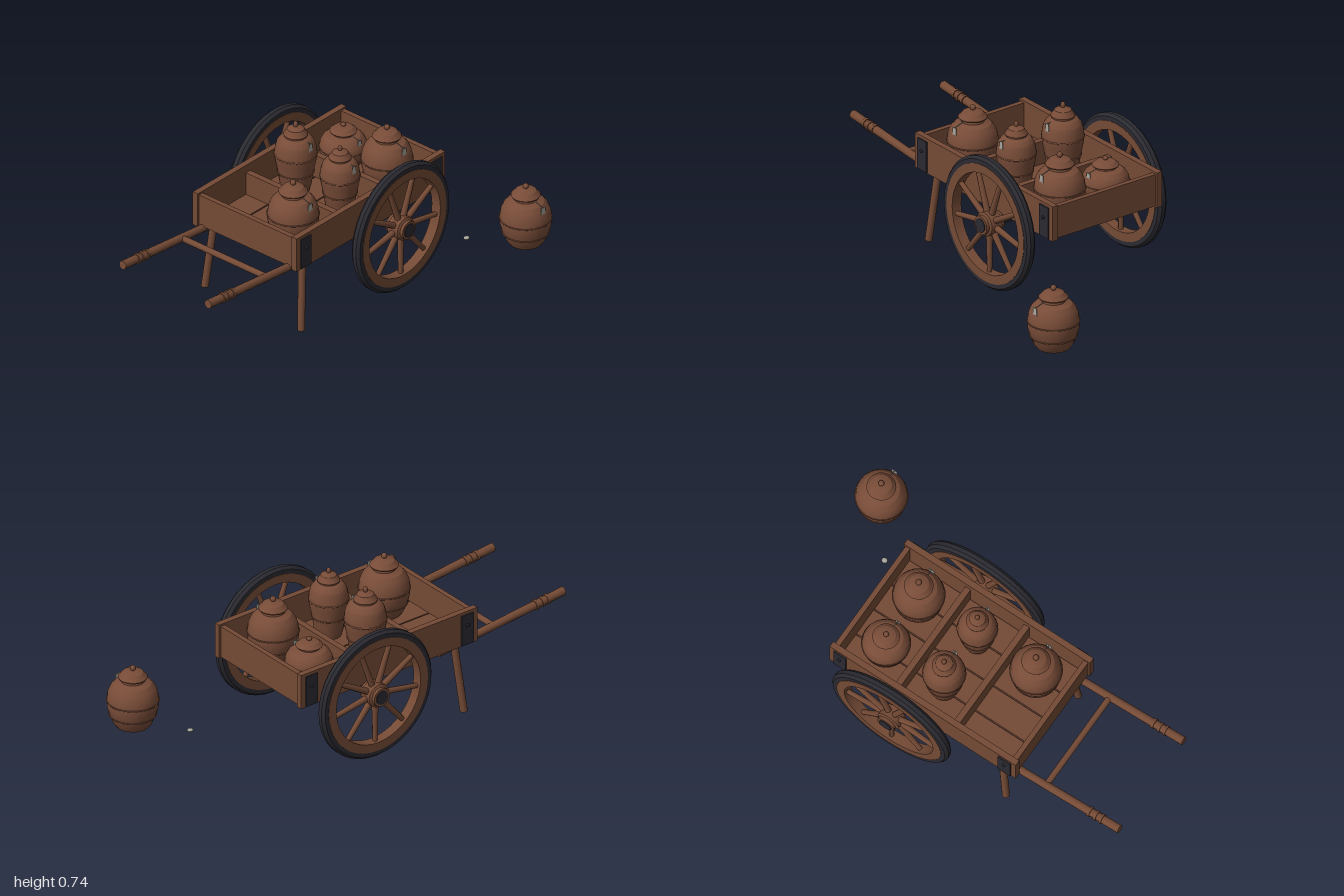
import * as THREE from 'three';
import { toCreasedNormals } from 'three/addons/utils/BufferGeometryUtils.js';

const paint = (name, color) => Object.assign(new THREE.MeshStandardMaterial({ color }), { name });
const WOOD = paint('wood', 0x744a35);
const CLAY = paint('clay', 0x784c38);
const IRON = paint('iron', 0x2a2a31);
const STONE = paint('paleGrey', 0xa8a69c);

function add(parent, name, geometry, material, x = 0, y = 0, z = 0) {
  const mesh = new THREE.Mesh(geometry, material);
  mesh.name = name;
  mesh.position.set(x, y, z);
  parent.add(mesh);
  return mesh;
}

function box(parent, name, material, x0, x1, y0, y1, z0, z1) {
  const g = new THREE.BoxGeometry(x1 - x0, y1 - y0, z1 - z0);
  return add(parent, name, g, material, (x0 + x1) / 2, (y0 + y1) / 2, (z0 + z1) / 2);
}

// Round bar between two points
function rod(parent, name, material, a, b, r0, r1 = r0, sides = 12) {
  const p = new THREE.Vector3(...a), q = new THREE.Vector3(...b);
  const dir = q.clone().sub(p);
  const mesh = add(parent, name, new THREE.CylinderGeometry(r1, r0, dir.length(), sides), material);
  mesh.position.copy(p).add(q).multiplyScalar(0.5);
  mesh.quaternion.setFromUnitVectors(new THREE.Vector3(0, 1, 0), dir.normalize());
  return mesh;
}

// Lathe with crisp edges at the profile corners
function turned(points, sides) {
  const g = new THREE.LatheGeometry(points.map(p => new THREE.Vector2(...p)), sides);
  return toCreasedNormals(g, 0.45);
}

function makeBed() {
  const bed = new THREE.Group();
  bed.name = 'bed';
  // floor planks with narrow gaps
  for (let i = 0; i < 4; i++) {
    const z = -0.412 + i * 0.1455;
    box(bed, 'floorPlank', WOOD, -0.435, 0.555, 0.355, 0.375, z, z + 0.139);
  }
  // side boards, end boards, dividers
  for (const z of [-0.435, 0.168]) box(bed, 'sideBoard', WOOD, -0.455, 0.575, 0.355, 0.53, z, z + 0.03);
  for (const x of [-0.445, 0.54]) box(bed, 'endBoard', WOOD, x, x + 0.025, 0.36, 0.52, -0.405, 0.168);
  for (const x of [-0.12, 0.205]) box(bed, 'divider', WOOD, x, x + 0.03, 0.375, 0.49, -0.405, 0.168);
  // iron plates with bolts at each corner
  for (const s of [-1, 1]) {
    const z = -0.1185 + s * 0.3195;
    for (const x of [-0.395, 0.515]) {
      box(bed, 'cornerPlate', IRON, x - 0.034, x + 0.034, 0.36, 0.515, z - 0.004, z + 0.004);
      rod(bed, 'bolt', IRON, [x, 0.46, z], [x, 0.46, z + s * 0.011], 0.011, 0.007, 8);
    }
  }
  return bed;
}

function makeWheel() {
  const wheel = new THREE.Group();
  wheel.name = 'wheel';
  // tyre and wooden rim
  const tyre = turned([[0.285, -0.024], [0.31, -0.024], [0.322, -0.01], [0.322, 0.01],
    [0.31, 0.024], [0.285, 0.024], [0.285, -0.024]], 40);
  const rim = turned([[0.246, -0.026], [0.289, -0.026], [0.289, 0.026], [0.246, 0.026], [0.246, -0.026]], 40);
  add(wheel, 'tyre', tyre.rotateX(Math.PI / 2), IRON);
  add(wheel, 'rim', rim.rotateX(Math.PI / 2), WOOD);
  // spokes
  for (let i = 0; i < 9; i++) {
    const a = -Math.PI / 2 + i * Math.PI * 2 / 9, c = Math.cos(a), s = Math.sin(a);
    rod(wheel, 'spoke', WOOD, [c * 0.04, s * 0.04, 0], [c * 0.255, s * 0.255, 0], 0.016, 0.012, 8);
  }
  // hub
  const hub = turned([[0, -0.052], [0.046, -0.052], [0.046, -0.036], [0.058, -0.03], [0.058, 0.03],
    [0.046, 0.036], [0.046, 0.052], [0, 0.052]], 16);
  add(wheel, 'hub', hub.rotateX(Math.PI / 2), WOOD);
  rod(wheel, 'hubCap', IRON, [0, 0, -0.056], [0, 0, 0.056], 0.034, 0.034, 16);
  return wheel;
}

function makeFrame() {
  const frame = new THREE.Group();
  frame.name = 'frame';
  const along = (x, z) => [x, 0.405 - (x + 1) * 0.099, z];
  for (const [z, s] of [[0.135, 1], [-0.385, -1]]) {
    // pulling shaft with grip rings
    rod(frame, 'shaft', WOOD, along(-0.998, z), along(-0.265, z), 0.021, 0.018);
    for (const x of [-0.9, -0.87, -0.835]) {
      rod(frame, 'gripRing', WOOD, along(x - 0.007, z), along(x + 0.007, z), 0.025);
    }
    // prop leg
    rod(frame, 'leg', WOOD, [-0.39, 0.003, z + s * 0.033], [-0.354, 0.345, z + s * 0.008], 0.018);
  }
  rod(frame, 'crossBar', WOOD, along(-0.59, -0.385), along(-0.59, 0.135), 0.015);
  rod(frame, 'axle', IRON, [0.19, 0.328, -0.46], [0.19, 0.328, 0.235], 0.023, 0.023, 16);
  return frame;
}

// Profiles for squat and tall jars: [radius, height]
const SQUAT = {
  body: [[0, 0], [0.078, 0], [0.092, 0.02], [0.108, 0.06], [0.118, 0.1], [0.12, 0.135], [0.115, 0.17],
    [0.103, 0.2], [0.085, 0.22], [0.055, 0.232], [0.052, 0.26]],
  bands: [[0.108, 0.06], [0.12, 0.133]], lid: 0.247, tag: [0.104, 0.223],
};
const TALL = {
  body: [[0, 0], [0.075, 0], [0.087, 0.03], [0.1, 0.09], [0.114, 0.14], [0.12, 0.168], [0.114, 0.2],
    [0.105, 0.222], [0.085, 0.24], [0.062, 0.247], [0.06, 0.262]],
  bands: [[0.102, 0.09], [0.119, 0.168]], lid: 0.25, tag: [0.108, 0.238],
};

function makeJar(type, x, y, z, radius, height) {
  const jar = new THREE.Group();
  jar.name = 'jar';
  add(jar, 'jarBody', turned(type.body, 24), CLAY);
  for (const [r, h] of type.bands) {
    add(jar, 'jarBand', new THREE.TorusGeometry(r, 0.0035, 6, 24).rotateX(Math.PI / 2), CLAY, 0, h);
  }
  // lid and knob
  add(jar, 'lid', turned([[0, 0], [0.066, 0], [0.068, 0.006], [0.055, 0.02], [0.048, 0.029],
    [0.025, 0.037], [0, 0.04]], 24), CLAY, 0, type.lid);
  add(jar, 'lidKnob', new THREE.SphereGeometry(0.014, 12, 8), CLAY, 0, 0.297);
  // hanging tag on its cord
  const [tz, ty] = type.tag;
  rod(jar, 'tagCord', STONE, [0, 0.24, 0.05], [0, ty, tz], 0.002, 0.002, 5);
  box(jar, 'tag', STONE, -0.014, 0.014, ty - 0.048, ty, tz, tz + 0.003);
  jar.position.set(x, y, z);
  jar.scale.set(radius / 0.12, height / 0.311, radius / 0.12);
  return jar;
}

export function createModel() {
  const model = new THREE.Group();
  model.name = 'jarCart';
  model.add(makeBed(), makeFrame());
  for (const z of [0.265, -0.495]) {
    const wheel = makeWheel();
    wheel.position.set(0.19, 0.33, z);
    model.add(wheel);
  }
  // jars in the cart and one on the ground
  model.add(
    makeJar(SQUAT, -0.265, 0.375, 0.01, 0.12, 0.311),
    makeJar(SQUAT, 0.385, 0.375, 0.01, 0.12, 0.311),
    makeJar(SQUAT, 0.385, 0.375, -0.255, 0.112, 0.215),
    makeJar(TALL, 0.06, 0.375, -0.26, 0.1, 0.368),
    makeJar(TALL, 0.06, 0.375, 0.01, 0.094, 0.348),
    makeJar(SQUAT, 0.875, 0.003, 0.425, 0.121, 0.309),
  );
  // pebble
  const pebble = add(model, 'pebble', new THREE.IcosahedronGeometry(0.014, 1), STONE, 0.71, 0.009, 0.21);
  pebble.scale.set(1.1, 0.55, 1);
  return model;
}
